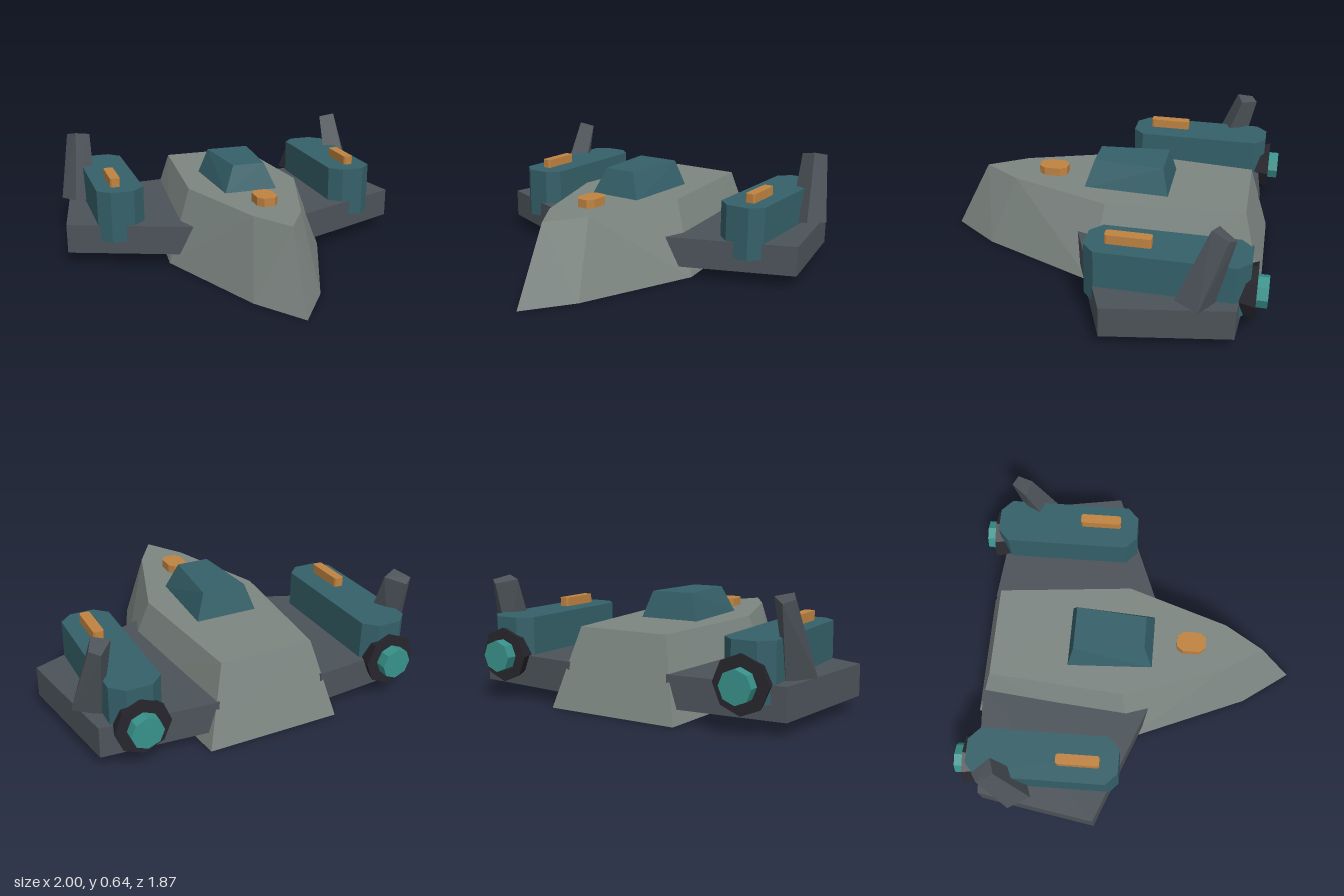
import * as THREE from 'three';
import { ConvexGeometry } from 'three/addons/geometries/ConvexGeometry.js';

const mat = (name, color) => {
  const m = new THREE.MeshStandardMaterial({ color, flatShading: true });
  m.name = name;
  return m;
};

export function createModel() {
  const hullGrey = mat('hull grey', 0x7d8682);
  const wingGrey = mat('wing slate', 0x4c5359);
  const teal = mat('deep teal', 0x356069);
  const orange = mat('amber', 0xc08341);
  const dark = mat('nozzle black', 0x26262d);
  const glow = mat('engine turquoise', 0x38918a);

  const model = new THREE.Group();
  model.name = 'spacecraft';

  const add = (parent, name, geometry, material) => {
    const mesh = new THREE.Mesh(geometry, material);
    mesh.name = name;
    parent.add(mesh);
    return mesh;
  };
  // Convex solid between two level outlines given as [x, z]
  const solid = (low, y0, high, y1) => new ConvexGeometry([
    ...low.map(([x, z]) => new THREE.Vector3(x, y0, z)),
    ...high.map(([x, z]) => new THREE.Vector3(x, y1, z)),
  ]);
  // Mirror an outline across the centre plane
  const both = (pts) => pts.flatMap(([x, z]) => (x ? [[x, z], [-x, z]] : [[x, z]]));
  // Rectangle with cut corners, centred on cx
  const cutRect = (cx, hw, z0, z1, cx1, cz1) => [-1, 1].flatMap((s) => [
    [cx + s * hw, z0 + cz1], [cx + s * hw, z1 - cz1],
    [cx + s * (hw - cx1), z0], [cx + s * (hw - cx1), z1],
  ]);

  // Tapered wedge hull
  add(model, 'hull', solid(
    both([[0, 0.936], [0.185, 0.675], [0.457, 0.02], [0.36, -0.9]]), 0,
    both([[0, 0.728], [0.132, 0.518], [0.32, -0.04], [0.253, -0.787]]), 0.412), hullGrey);

  // Cockpit canopy
  add(model, 'canopy', solid(
    both([[0.153, 0.115], [0.174, -0.36]]), 0.405,
    both([[0.09, 0.066], [0.122, -0.322]]), 0.555), teal);

  // Nose light
  const noseLight = cutRect(0, 0.057, 0.244, 0.404, 0.027, 0.035);
  add(model, 'noseLight', solid(noseLight, 0.405, noseLight, 0.458), orange);

  for (const s of [1, -1]) {
    const side = new THREE.Group();
    side.name = s > 0 ? 'leftWingAssembly' : 'rightWingAssembly';
    model.add(side);

    // Wing slab
    const wing = [[0.28, 0.131], [1, -0.152], [0.89, -0.797], [0.29, -0.847]].map(([x, z]) => [s * x, z]);
    add(side, 'wing', solid(wing, 0.07, wing, 0.235), wingGrey);

    // Engine housing with cut corners
    const housing = cutRect(s * 0.7, 0.131, -0.848, -0.028, 0.066, 0.062);
    add(side, 'engineHousing', solid(housing, 0.145, housing, 0.435), teal);

    // Light strip on the housing
    const strip = cutRect(s * 0.718, 0.028, -0.362, -0.128, 0.008, 0.01);
    add(side, 'housingLight', solid(strip, 0.43, strip, 0.485), orange);

    // Flared nozzle and exhaust
    const nozzle = add(side, 'nozzle', new THREE.CylinderGeometry(0.12, 0.144, 0.08, 8), dark);
    nozzle.rotation.x = Math.PI / 2;
    nozzle.position.set(s * 0.7, 0.238, -0.84);
    const exhaust = add(side, 'exhaust', new THREE.CylinderGeometry(0.083, 0.083, 0.096, 8), glow);
    exhaust.rotation.x = Math.PI / 2;
    exhaust.position.set(s * 0.7, 0.238, -0.888);

    // Tapered fin leaning inward and back
    add(side, 'fin', new ConvexGeometry([
      [0.853, 0.636, -0.65], [0.767, 0.617, -0.682], [0.848, 0.595, -0.77], [0.895, 0.614, -0.738],
      [0.896, 0.26, -0.5], [0.77, 0.24, -0.55], [0.835, 0.23, -0.69], [0.962, 0.248, -0.62],
    ].map(([x, y, z]) => new THREE.Vector3(s * x, y, z))), wingGrey);
  }
  return model;
}
